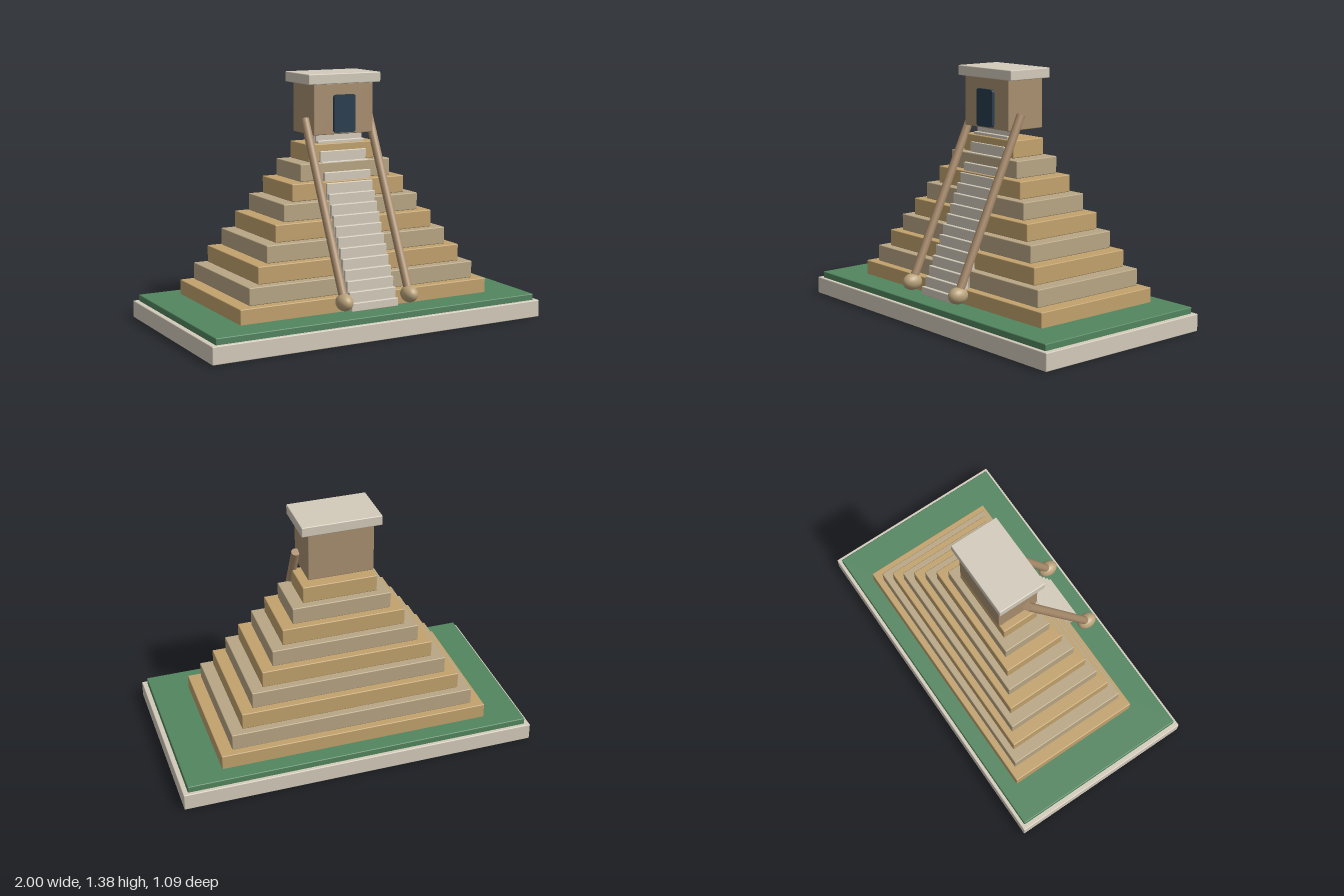
import * as THREE from 'three';
import { RoundedBoxGeometry } from 'three/addons/geometries/RoundedBoxGeometry.js';

const paint = (color) => new THREE.MeshStandardMaterial({ color });
const stone = paint(0xd3cbbb);
const grass = paint(0x52855f);
const sand = paint(0xc2a26d);
const taupe = paint(0xb8a684);
const clay = paint(0xa88f70);
const wood = paint(0xa98c6c);
const knobTan = paint(0xb9a27a);
const navy = paint(0x263b4d);

export function createModel() {
  const model = new THREE.Group();
  model.name = 'steppedPyramid';

  // Softly bevelled block, centred on x, between y0..y1 and z0..z1
  function block(name, halfWidth, y0, y1, z0, z1, material, parent = model, bevel = 0.005) {
    const geometry = new RoundedBoxGeometry(halfWidth * 2, y1 - y0, z1 - z0, 2, bevel);
    const mesh = new THREE.Mesh(geometry, material);
    mesh.position.set(0, (y0 + y1) / 2, (z0 + z1) / 2);
    mesh.name = name;
    parent.add(mesh);
    return mesh;
  }

  // Plinth and lawn
  block('plinth', 1, 0, 0.096, -0.547, 0.547, stone);
  block('lawn', 0.972, 0.09, 0.131, -0.527, 0.527, grass);

  // Nine shrinking tiers in alternating colours
  const tiers = new THREE.Group();
  tiers.name = 'tiers';
  model.add(tiers);
  for (let i = 0; i < 9; i++) {
    const top = 0.213 + i * 0.0978;
    const halfDepth = 0.398 - i * 0.0362;
    block('tier', 0.76 - i * 0.0688, top - 0.095, top,
      -0.037 - halfDepth, -0.037 + halfDepth, i % 2 ? taupe : sand, tiers);
  }

  // Staircase of thin upright slabs, each taller than the one before
  const stairs = new THREE.Group();
  stairs.name = 'stairs';
  model.add(stairs);
  for (let i = 0; i < 18; i++) {
    const z = 0.42 - i * 0.025;
    block('step', 0.143, 0.14, 0.186 + i * 0.055, z - 0.011, z + 0.011, stone, stairs, 0.004);
  }

  // Temple with door and flat roof
  block('temple', 0.183, 1.045, 1.322, -0.16, 0.084, clay);
  block('roof', 0.222, 1.32, 1.376, -0.18, 0.101, stone);

  // Door panel with rounded corners
  const w = 0.066, h = 0.103, r = 0.016;
  const panel = new THREE.Shape();
  panel.moveTo(-w + r, -h);
  panel.lineTo(w - r, -h);
  panel.quadraticCurveTo(w, -h, w, -h + r);
  panel.lineTo(w, h - r);
  panel.quadraticCurveTo(w, h, w - r, h);
  panel.lineTo(-w + r, h);
  panel.quadraticCurveTo(-w, h, -w, h - r);
  panel.lineTo(-w, -h + r);
  panel.quadraticCurveTo(-w, -h, -w + r, -h);
  const door = new THREE.Mesh(
    new THREE.ExtrudeGeometry(panel, { depth: 0.02, bevelEnabled: false, curveSegments: 5 }), navy);
  door.position.set(0, 1.157, 0.08);
  door.name = 'door';
  model.add(door);

  // Sloping rails ending in oval knobs
  const foot = new THREE.Vector3(0, 0.205, 0.45);
  const head = new THREE.Vector3(0, 1.13, 0.01);
  const along = head.clone().sub(foot);
  for (const side of [-1, 1]) {
    const rail = new THREE.Mesh(new THREE.CylinderGeometry(0.0235, 0.0235, along.length(), 24), wood);
    rail.position.copy(foot).add(head).multiplyScalar(0.5).setX(side * 0.2);
    rail.quaternion.setFromUnitVectors(new THREE.Vector3(0, 1, 0), along.clone().normalize());
    rail.name = side > 0 ? 'leftRail' : 'rightRail';

    const knob = new THREE.Mesh(new THREE.SphereGeometry(1, 28, 20), knobTan);
    knob.scale.set(0.044, 0.046, 0.059);
    knob.position.copy(foot).setX(side * 0.2);
    knob.name = side > 0 ? 'leftKnob' : 'rightKnob';
    model.add(rail, knob);
  }

  return model;
}
